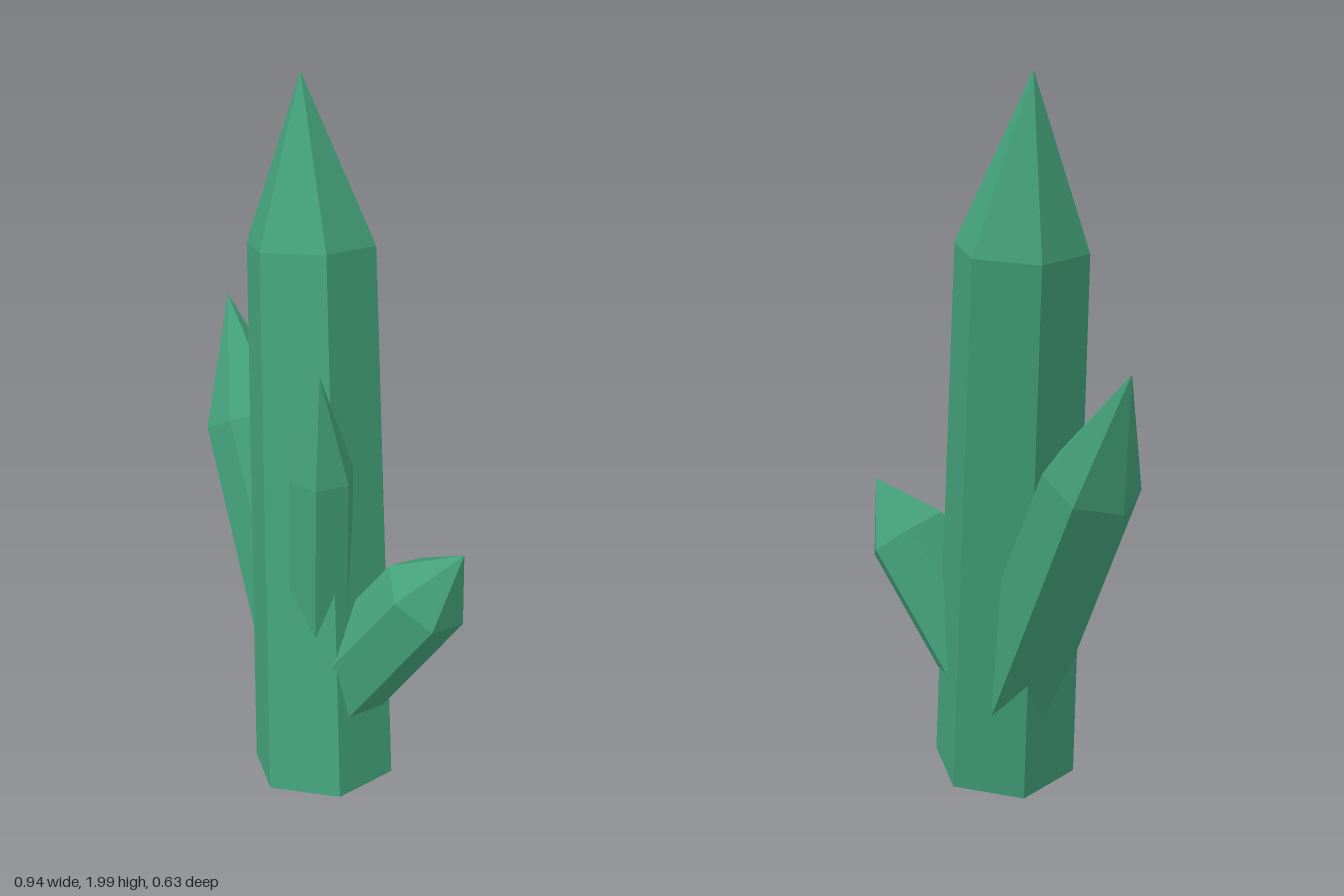
import * as THREE from 'three';

const SIDES = 6;

// Hexagonal prism with a pointed tip; "corner" is the offset of one shoulder corner from the axis
function crystal(name, material, { base, shoulder, tip, corner, baseScale }) {
  const b = new THREE.Vector3(...base);
  const s = new THREE.Vector3(...shoulder);
  const t = new THREE.Vector3(...tip);
  const axis = s.clone().sub(b).normalize();
  const radius = new THREE.Vector3(...corner).length();
  const u = new THREE.Vector3(...corner).projectOnPlane(axis).setLength(radius);

  const ring = (centre, scale) => Array.from({ length: SIDES }, (_, i) =>
    u.clone().applyAxisAngle(axis, (i / SIDES) * Math.PI * 2).multiplyScalar(scale).add(centre));
  const low = ring(b, baseScale);
  const high = ring(s, 1);

  const points = [];
  for (let i = 0; i < SIDES; i++) {
    const j = (i + 1) % SIDES;
    points.push(low[i], low[j], high[j], low[i], high[j], high[i]); // side
    points.push(high[i], high[j], t); // tip facet
    points.push(low[j], low[i], b); // underside
  }
  const geometry = new THREE.BufferGeometry().setFromPoints(points);
  geometry.computeVertexNormals();
  const mesh = new THREE.Mesh(geometry, material);
  mesh.name = name;
  return mesh;
}

export function createModel() {
  const group = new THREE.Group();
  group.name = 'crystalCluster';
  const green = new THREE.MeshStandardMaterial({ color: 0x43a07a, flatShading: true });
  green.name = 'crystalGreen';

  // Tall leaning crystal in the middle
  group.add(crystal('mainCrystal', green, {
    base: [0.068, 0.044, 0.116], shoulder: [-0.094, 1.557, -0.124], tip: [-0.145, 2, -0.168],
    corner: [-0.061, 0.022, 0.168], baseScale: 1.155,
  }));
  // Side crystals growing from the heart of the main one
  group.add(crystal('backRightCrystal', green, {
    base: [0.06, 0.2, 0.08], shoulder: [-0.315, 0.97, -0.175], tip: [-0.47, 1.275, -0.315],
    corner: [0, 0.042, 0.128], baseScale: 1.1,
  }));
  group.add(crystal('leftCrystal', green, {
    base: [0.03, 0.22, 0.084], shoulder: [0.363, 0.705, 0.084], tip: [0.467, 0.86, 0.085],
    corner: [-0.103, 0.072, 0.016], baseScale: 1.1,
  }));
  group.add(crystal('frontCrystal', green, {
    base: [0.045, 0.2, 0.09], shoulder: [0.076, 1.035, 0.144], tip: [0.095, 1.34, 0.19],
    corner: [-0.089, 0, -0.018], baseScale: 1.05,
  }));
  return group;
}
